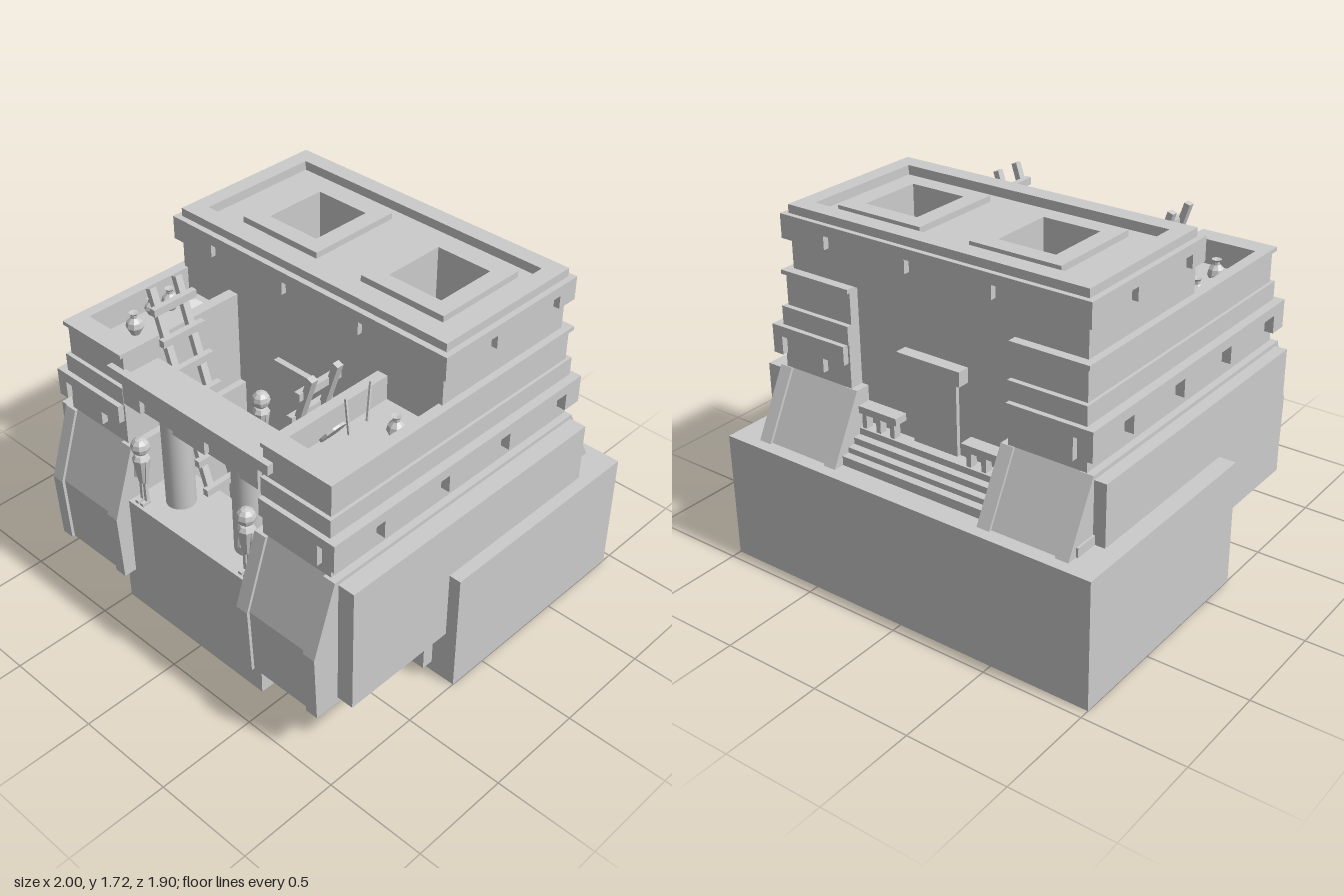
import * as THREE from 'three';

const mat = new THREE.MeshStandardMaterial({ color: 0xcccccc, flatShading: true, side: THREE.DoubleSide });
const smooth = new THREE.MeshStandardMaterial({ color: 0xcccccc });

function add(parent, name, geo, m = mat) {
  const mesh = new THREE.Mesh(geo, m);
  mesh.name = name;
  parent.add(mesh);
  return mesh;
}

// Box given by its ranges; x may be passed in either order
function box(parent, name, xa, xb, y0, y1, z0, z1) {
  const geo = new THREE.BoxGeometry(Math.abs(xb - xa), y1 - y0, z1 - z0);
  geo.translate((xa + xb) / 2, (y0 + y1) / 2, (z0 + z1) / 2);
  return add(parent, name, geo);
}

// Extrude (u, y) points: across x (u is z) or across z (u is x)
function prism(parent, name, pts, axis, a, b) {
  const lo = Math.min(a, b), hi = Math.max(a, b);
  const shape = new THREE.Shape(pts.map(p => new THREE.Vector2(p[0], p[1])));
  const geo = new THREE.ExtrudeGeometry(shape, { depth: hi - lo, bevelEnabled: false });
  if (axis === 'x') geo.rotateY(-Math.PI / 2).translate(hi, 0, 0);
  else geo.translate(0, 0, lo);
  return add(parent, name, geo);
}

// Leave a part hollow from below by dropping its lowest flat face
function openBottom(mesh) {
  const src = mesh.geometry.index ? mesh.geometry.toNonIndexed() : mesh.geometry;
  src.computeBoundingBox();
  const p = src.attributes.position.array, low = src.boundingBox.min.y + 1e-4, keep = [];
  for (let i = 0; i < p.length; i += 9) {
    if (Math.max(p[i + 1], p[i + 4], p[i + 7]) > low) keep.push(...p.slice(i, i + 9));
  }
  mesh.geometry = new THREE.BufferGeometry();
  mesh.geometry.setAttribute('position', new THREE.Float32BufferAttribute(keep, 3));
  mesh.geometry.computeVertexNormals();
}

// Band with square notches cut into its lower edge
function frieze(parent, name, axis, u0, u1, a, b, y0, yNotch, y1, gaps) {
  const pts = [[u0, y1], [u0, y0]];
  for (const [g0, g1] of gaps) pts.push([g0, y0], [g0, yNotch], [g1, yNotch], [g1, y0]);
  pts.push([u1, y0], [u1, y1]);
  prism(parent, name, pts, axis, a, b);
}

// Flat slab with rectangular holes, each [x0, x1, z0, z1]
function slab(parent, name, r, y0, y1, holes) {
  const loop = ([x0, x1, z0, z1]) => [[x0, -z1], [x1, -z1], [x1, -z0], [x0, -z0]].map(p => new THREE.Vector2(...p));
  const shape = new THREE.Shape(loop(r));
  holes.forEach(h => shape.holes.push(new THREE.Path(loop(h).reverse())));
  const geo = new THREE.ExtrudeGeometry(shape, { depth: y1 - y0, bevelEnabled: false });
  add(parent, name, geo.rotateX(-Math.PI / 2).translate(0, y0, 0));
}

function bar(parent, name, p, q, w, d) {
  const a = new THREE.Vector3(...p), b = new THREE.Vector3(...q);
  const m = add(parent, name, new THREE.BoxGeometry(w, a.distanceTo(b), d));
  m.position.copy(a).add(b).multiplyScalar(0.5);
  m.quaternion.setFromUnitVectors(new THREE.Vector3(0, 1, 0), b.sub(a).normalize());
}

function wing(parent, s) {
  const g = new THREE.Group();
  g.name = s > 0 ? 'leftWing' : 'rightWing';
  parent.add(g);
  const X = v => v * s;
  const profile = o => [[0.92 + o, 0.25], [0.935 + o, 0.6], [0.815 + o, 0.95], [-0.71 - o, 0.95], [-0.88 - o, 0.63], [-0.88 - o, 0.25]];
  openBottom(prism(g, 'slopedBase', profile(0), 'x', X(0.43), X(0.82)));
  for (const [a, b] of [[0.395, 0.46], [0.79, 0.855]]) openBottom(prism(g, 'slopedRail', profile(0.015), 'x', X(a), X(b)));
  openBottom(box(g, 'sidePanel', X(0.8), s > 0 ? 0.94 : -0.915, 0.28, 0.93, -0.72, 0.81));

  // Stacked wall courses, ending in a sunken roof terrace
  box(g, 'lowerCourse', X(0.43), X(0.82), 0.95, 1.16, -0.72, 0.815);
  box(g, 'middleCourse', X(0.43), X(0.82), 1.16, 1.25, -0.725, 0.82);
  box(g, 'upperCourse', X(0.43), X(0.805), 1.25, 1.3, -0.7, 0.8);
  box(g, 'rearCourse', X(0.43), X(0.805), 1.3, 1.42, -0.7, 0.13);
  const r = (a, b, z0, z1) => [Math.min(X(a), X(b)), Math.max(X(a), X(b)), z0, z1];
  slab(g, 'parapet', r(0.43, 0.805, 0.1, 0.8), 1.3, 1.42, [r(0.485, 0.765, 0.13, 0.71)]);
  box(g, 'sideRim', X(0.8), X(0.82), 1.4, 1.42, -0.715, 0.815);
  box(g, 'frontRim', X(0.43), X(0.82), 1.4, 1.42, 0.795, 0.815);
  box(g, 'rearRim', X(0.43), X(0.82), 1.4, 1.42, -0.715, -0.69);

  // Notched bands around the three outer faces
  const gaps = [-0.65, -0.25, 0.15, 0.55].map(z => [z, z + 0.2]);
  frieze(g, 'sideFrieze', 'x', -0.75, 0.845, X(0.81), X(0.865), 1.02, 1.11, 1.16, gaps);
  const tooth = [[0.44, 1.16], [0.44, 1.07], [0.565, 1.07], [0.565, 1.0], [0.77, 1.0], [0.77, 1.11], [0.865, 1.11], [0.865, 1.16]];
  const face = tooth.map(([x, y]) => [X(x), y]);
  prism(g, 'frontFrieze', face, 'z', 0.8, 0.845);
  prism(g, 'rearFrieze', face, 'z', -0.75, -0.7);
}

function ladder(parent, s) {
  const g = new THREE.Group();
  g.name = 'ladder';
  parent.add(g);
  const at = y => [s * (0.175 + (y - 0.69) * 0.33), y];
  for (const z of [0.43, 0.575]) bar(g, 'ladderRail', [...at(0.68), z], [...at(1.63), z], 0.03, 0.035);
  for (let i = 0; i < 7; i++) {
    const [x, y] = at(0.7 + i * 0.14);
    bar(g, 'rung', [x - s * 0.018, y, 0.375], [x - s * 0.018, y, 0.615], 0.03, 0.036);
  }
}

function figure(parent, x, y, z) {
  const g = new THREE.Group();
  g.name = 'figure';
  g.position.set(x, y, z);
  parent.add(g);
  const torso = [[0, 0.12], [0.022, 0.12], [0.03, 0.17], [0.042, 0.25], [0.03, 0.27], [0, 0.28]];
  add(g, 'torso', new THREE.LatheGeometry(torso.map(p => new THREE.Vector2(...p)), 8));
  add(g, 'head', new THREE.SphereGeometry(0.045, 8, 6)).position.y = 0.315;
  for (const s of [-1, 1]) {
    bar(g, 'leg', [s * 0.014, 0, 0], [s * 0.012, 0.14, 0], 0.016, 0.016);
    bar(g, 'arm', [s * 0.038, 0.25, 0], [s * 0.036, 0.13, 0.01], 0.014, 0.014);
    box(g, 'foot', s * 0.005, s * 0.027, 0, 0.014, -0.01, 0.035);
  }
}

function pot(parent, x, y, z, k) {
  const pts = [[0, 0], [0.022, 0], [0.042, 0.04], [0.036, 0.065], [0.016, 0.085], [0.016, 0.1], [0.024, 0.11], [0, 0.105]];
  add(parent, 'pot', new THREE.LatheGeometry(pts.map(p => new THREE.Vector2(p[0] * k, p[1] * k)), 8)).position.set(x, y, z);
}

export function createModel() {
  const root = new THREE.Group();
  root.name = 'temple';

  // Rear base, open underneath, and the footings
  for (const [z0, z1] of [[-0.95, -0.945], [0.2, 0.205]]) box(root, 'baseWall', -1, 1, 0, 0.63, z0, z1);
  for (const s of [-1, 1]) box(root, 'baseSide', s, s * 0.995, 0, 0.63, -0.95, 0.205);
  slab(root, 'baseTop', [-1, 1, -0.95, 0.205], 0.62, 0.63, [[-0.8, -0.45, -0.86, 0.19], [0.45, 0.8, -0.86, 0.19]]);
  openBottom(box(root, 'rearFooting', -0.87, 0.87, 0.055, 0.28, 0.2, 0.265));
  openBottom(box(root, 'courtyardLedge', -0.43, 0.43, 0.055, 0.67, 0.2, 0.265));
  openBottom(box(root, 'porchFloor', -0.45, 0.45, 0.055, 0.67, 0.535, 0.87));

  for (const s of [-1, 1]) wing(root, s);

  // Central hall with its rear door, lintels and steps
  box(root, 'hall', -0.44, 0.44, 0.63, 1.42, -0.65, 0.13);
  box(root, 'rearDoor', -0.12, 0.12, 0.76, 1.14, -0.67, -0.64);
  box(root, 'rearLintel', -0.17, 0.17, 1.13, 1.2, -0.71, -0.64);
  box(root, 'frontLintel', -0.17, 0.17, 1.13, 1.2, 0.12, 0.16);
  box(root, 'lowestStep', -0.865, 0.865, 0.63, 0.675, -0.84, -0.72);
  for (let i = 1; i < 4; i++) box(root, 'rearStep', -0.42, 0.42, 0.63, 0.67 + i * 0.032, -0.84 + i * 0.04, -0.64);
  for (let i = 0; i < 2; i++) box(root, 'frontStep', -0.43, 0.43, 0.63, 0.72 + i * 0.035, 0.1, 0.2 - i * 0.035);

  // Low benches beside the rear steps
  for (const s of [-1, 1]) {
    box(root, 'benchTop', s * 0.18, s * 0.4, 0.84, 0.875, -0.72, -0.65);
    for (const x of [0.2, 0.28, 0.36]) box(root, 'benchLeg', s * x, s * (x + 0.025), 0.72, 0.84, -0.71, -0.67);
  }

  // Upper storey with two deep shafts, and its notched crown
  const holes = [-0.32, 0.403].map(x => [x - 0.145, x + 0.145, -0.44, -0.12]);
  slab(root, 'upperStorey', [-0.785, 0.785, -0.67, 0.13], 1.42, 1.675, holes);
  const xGaps = [-0.45, 0, 0.45].map(x => [x - 0.115, x + 0.115]);
  const zGaps = [-0.48, -0.06].map(z => [z - 0.11, z + 0.11]);
  for (const [a, b] of [[0.12, 0.155], [-0.7, -0.665]]) frieze(root, 'crownFrieze', 'z', -0.815, 0.815, a, b, 1.565, 1.63, 1.68, xGaps);
  for (const s of [-1, 1]) frieze(root, 'crownSideFrieze', 'x', -0.7, 0.155, s * 0.78, s * 0.815, 1.565, 1.63, 1.68, zGaps);

  // Roof rim and the frames of the openings
  slab(root, 'roofRim', [-0.787, 0.787, -0.675, 0.125], 1.67, 1.72, [[-0.705, 0.705, -0.59, 0.035]]);
  for (const h of holes) slab(root, 'hatchFrame', [h[0] - 0.085, h[1] + 0.085, -0.525, -0.035], 1.67, 1.705, [h]);

  // Porch: columns, bridge and notched beam
  for (const x of [-0.23, 0.22]) {
    add(root, 'column', new THREE.CylinderGeometry(0.07, 0.07, 0.5, 24), smooth).position.set(x, 0.92, 0.7);
  }
  box(root, 'bridge', -0.44, 0.44, 1.17, 1.31, 0.61, 0.8);
  box(root, 'bridgeCap', -0.51, 0.485, 1.29, 1.34, 0.79, 0.83);
  frieze(root, 'bridgeFrieze', 'z', -0.42, 0.42, 0.79, 0.825, 1.18, 1.25, 1.3, [[-0.31, -0.1], [0.1, 0.31]]);

  for (const s of [-1, 1]) ladder(root, s);
  figure(root, -0.34, 0.67, 0.82);
  figure(root, 0.335, 0.67, 0.82);
  figure(root, -0.21, 0.67, 0.21);
  figure(root, 0.34, 0.74, 0.2);

  // Pots, shields and spears on the terraces, and a pot on the ledge
  const pots = [[0.69, 0.3, 1], [-0.7, 0.3, 1], [-0.73, 0.39, 0.75], [-0.66, 0.545, 1]];
  for (const [x, z, k] of pots) pot(root, x, 1.3, z, k);
  pot(root, 0.225, 0.67, 0.25, 1);
  for (const [x, z] of [[-0.53, 0.3], [0.525, 0.5]]) {
    const shield = add(root, 'shield', new THREE.CylinderGeometry(0.065, 0.065, 0.012, 12));
    shield.position.set(x, 1.35, z);
    shield.rotation.z = Math.sign(x) * 0.95;
  }
  bar(root, 'spear', [0.53, 1.3, 0.3], [0.5, 1.46, 0.25], 0.01, 0.01);
  bar(root, 'spear', [0.54, 1.3, 0.42], [0.51, 1.46, 0.41], 0.01, 0.01);
  return root;
}
